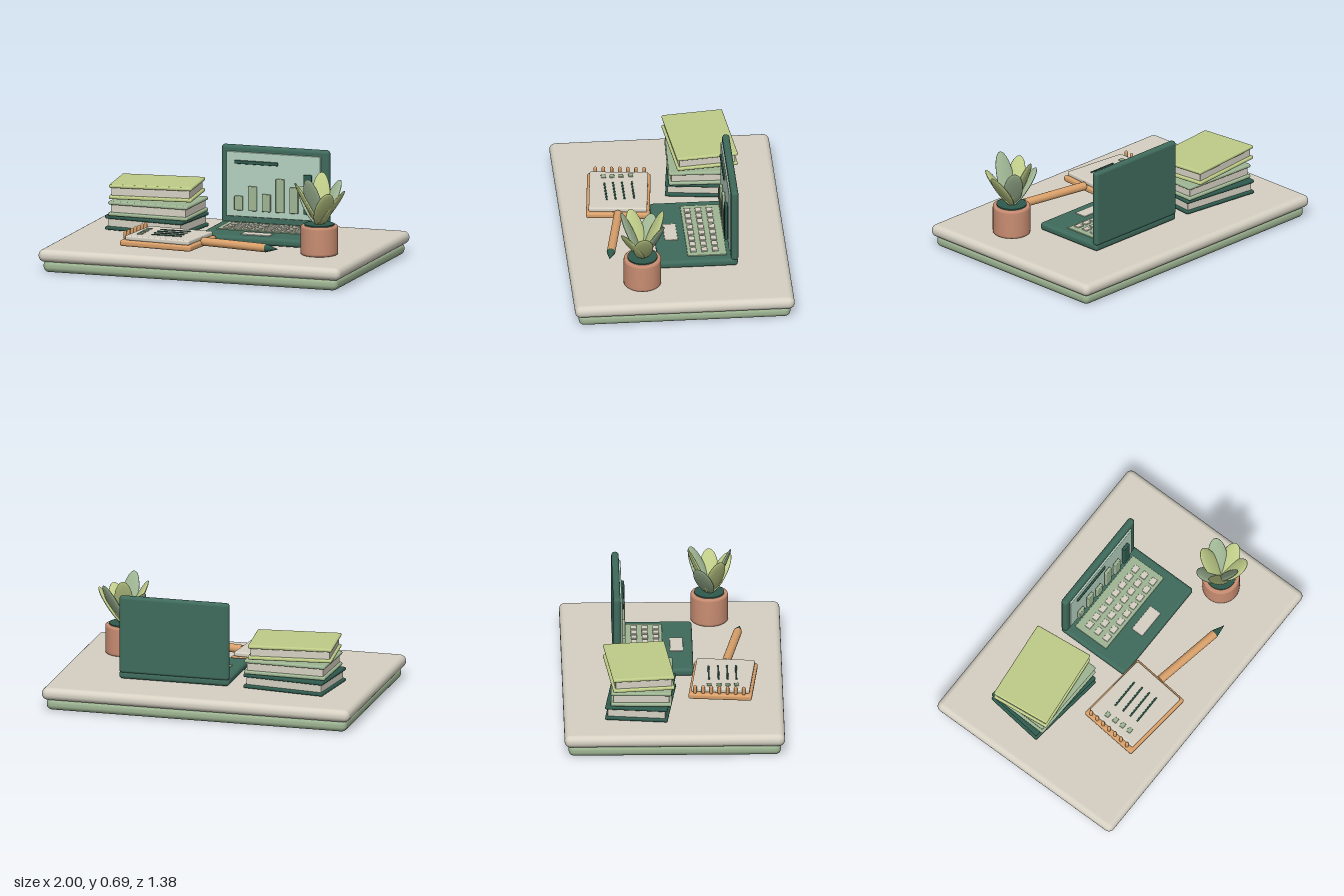
import * as THREE from 'three';
import { RoundedBoxGeometry } from 'three/addons/geometries/RoundedBoxGeometry.js';

const mat = (name, color) => {
  const m = new THREE.MeshStandardMaterial({ color });
  m.name = name;
  return m;
};

export function createModel() {
  const cream = mat('cream', 0xd6d1c3);
  const sage = mat('sage', 0x9fb694);
  const lime = mat('lime', 0xbfcc88);
  const mint = mat('mint', 0xb5d1c0);
  const green = mat('deepGreen', 0x3f6b5c);
  const dark = mat('darkGreen', 0x2f5a4d);
  const clay = mat('terracotta', 0xc98d72);
  const wood = mat('wood', 0xd9a06a);

  const model = new THREE.Group();
  model.name = 'deskScene';

  const group = (name, parent = model) => {
    const g = new THREE.Group();
    g.name = name;
    parent.add(g);
    return g;
  };
  const add = (parent, name, geometry, material, x, y, z) => {
    const m = new THREE.Mesh(geometry, material);
    m.name = name;
    m.position.set(x, y, z);
    parent.add(m);
    return m;
  };
  // Rounded box given by its size and centre
  const box = (parent, name, material, [w, h, d], [x, y, z], r = 0.004) =>
    add(parent, name, new RoundedBoxGeometry(w, h, d, 3, r), material, x, y, z);

  // Desk: two stacked rounded slabs
  const desk = group('desk');
  box(desk, 'deskTop', cream, [2, 0.08, 1.38], [0, 0.108, 0], 0.038);
  box(desk, 'deskBase', sage, [1.95, 0.08, 1.33], [0, 0.04, 0], 0.036);

  // Laptop: base, keyboard, trackpad, lid and chart
  const laptop = group('laptop');
  box(laptop, 'laptopBase', green, [0.714, 0.05, 0.5], [0.225, 0.179, -0.117], 0.02);
  box(laptop, 'keyboardPlate', sage, [0.595, 0.01, 0.245], [0.227, 0.205, -0.178], 0.003);
  for (let row = 0; row < 3; row++) {
    for (let col = 0; col < 8; col++) {
      box(laptop, 'key', cream, [0.048, 0.01, 0.038],
        [-0.007 + col * 0.067, 0.213, -0.233 + row * 0.069], 0.003);
    }
  }
  box(laptop, 'trackpad', cream, [0.192, 0.008, 0.082], [0.23, 0.205, 0.031], 0.003);
  box(laptop, 'lid', green, [0.714, 0.502, 0.046], [0.225, 0.441, -0.347], 0.021);
  box(laptop, 'screen', mint, [0.625, 0.412, 0.016], [0.218, 0.447, -0.321], 0.005);
  box(laptop, 'chartTitle', dark, [0.288, 0.023, 0.012], [0.106, 0.589, -0.308], 0.005);
  [0.092, 0.157, 0.112, 0.214, 0.167, 0.252].forEach((h, i) => {
    box(laptop, 'chartBar', i === 5 ? dark : sage, [0.056, h, 0.02],
      [-0.007 + i * 0.0915, 0.283 + h / 2, -0.301], 0.006);
  });

  // Stack of three books, from the bottom up
  const books = group('bookStack');
  [
    [dark, -0.516, 0.155, -0.206, 0.538, 0.393, -0.12],
    [sage, -0.505, 0.25, -0.199, 0.53, 0.382, -0.03],
    [lime, -0.519, 0.361, -0.217, 0.533, 0.387, 0.107],
  ].forEach(([color, x, y, z, w, d, turn]) => {
    const book = group('book', books);
    book.position.set(x, y, z);
    book.rotation.y = turn;
    const h = 0.094;
    box(book, 'backCover', color, [w, 0.023, d], [0, 0.0115, 0], 0.01);
    box(book, 'bookPages', cream, [w - 0.03, h - 0.04, d - 0.03], [0, h / 2, 0]);
    box(book, 'frontCover', color, [w, 0.023, d], [0, h - 0.0115, 0], 0.01);
  });

  // Notebook with binding pegs
  const notebook = group('notebook');
  notebook.position.set(-0.262, 0, 0.315);
  notebook.rotation.y = -0.098;
  box(notebook, 'notebookCover', wood, [0.489, 0.038, 0.398], [0, 0.184, 0], 0.014);
  box(notebook, 'notebookPage', cream, [0.44, 0.03, 0.366], [0.006, 0.217, 0], 0.01);
  const peg = new THREE.CapsuleGeometry(0.011, 0.034, 4, 12);
  for (let i = 0; i < 7; i++) {
    add(notebook, 'bindingPeg', peg, wood, -0.227, 0.228, -0.158 + i * 0.051);
  }
  // Written lines and check boxes
  const notes = group('notes');
  [0.225, 0.286, 0.342, 0.397].forEach((z) => {
    box(notes, 'noteLine', dark, [0.2, 0.008, 0.011], [-0.243, 0.234, z], 0.003);
    box(notes, 'checkBox', sage, [0.034, 0.008, 0.03], [-0.418, 0.234, z], 0.003);
  });

  // Pencil lying along its own x axis
  const pencil = group('pencil');
  pencil.position.set(-0.025, 0.199, 0.336);
  pencil.rotation.y = -0.182;
  const shaft = add(pencil, 'pencilShaft', new THREE.CylinderGeometry(0.027, 0.027, 0.456, 20), wood, 0.228, 0, 0);
  const tip = add(pencil, 'pencilTip', new THREE.ConeGeometry(0.027, 0.086, 20), dark, 0.499, 0, 0);
  shaft.rotation.z = tip.rotation.z = -Math.PI / 2;

  // Potted plant
  const plant = group('plant');
  plant.position.set(0.717, 0, 0.246);
  const profile = [[0, 0.147], [0.11, 0.147], [0.117, 0.153], [0.118, 0.165], [0.118, 0.318],
    [0.116, 0.329], [0.108, 0.334], [0, 0.334]].map(([r, y]) => new THREE.Vector2(r, y));
  add(plant, 'pot', new THREE.LatheGeometry(profile, 40), clay, 0, 0, 0);
  add(plant, 'soil', new THREE.CylinderGeometry(0.094, 0.094, 0.014, 32), dark, 0, 0.335, 0);

  // Seven leaves fanning outward in three lengths
  const leafShape = new THREE.SphereGeometry(1, 24, 16);
  for (let i = 0; i < 7; i++) {
    const angle = 0.9 + (i * Math.PI * 2) / 7;
    const length = [0.285, 0.345, 0.318][i % 3];
    const lean = [0.62, 0.41, 0.51][i % 3];
    const turn = group('leafTurn', plant);
    turn.position.y = 0.328;
    turn.rotation.y = -angle;
    const stem = group('leafLean', turn);
    stem.rotation.z = -lean;
    const leaf = add(stem, 'leaf', leafShape, i % 2 ? sage : lime, 0, length / 2, 0);
    leaf.scale.set(0.016, length / 2, 0.061);
  }

  return model;
}
